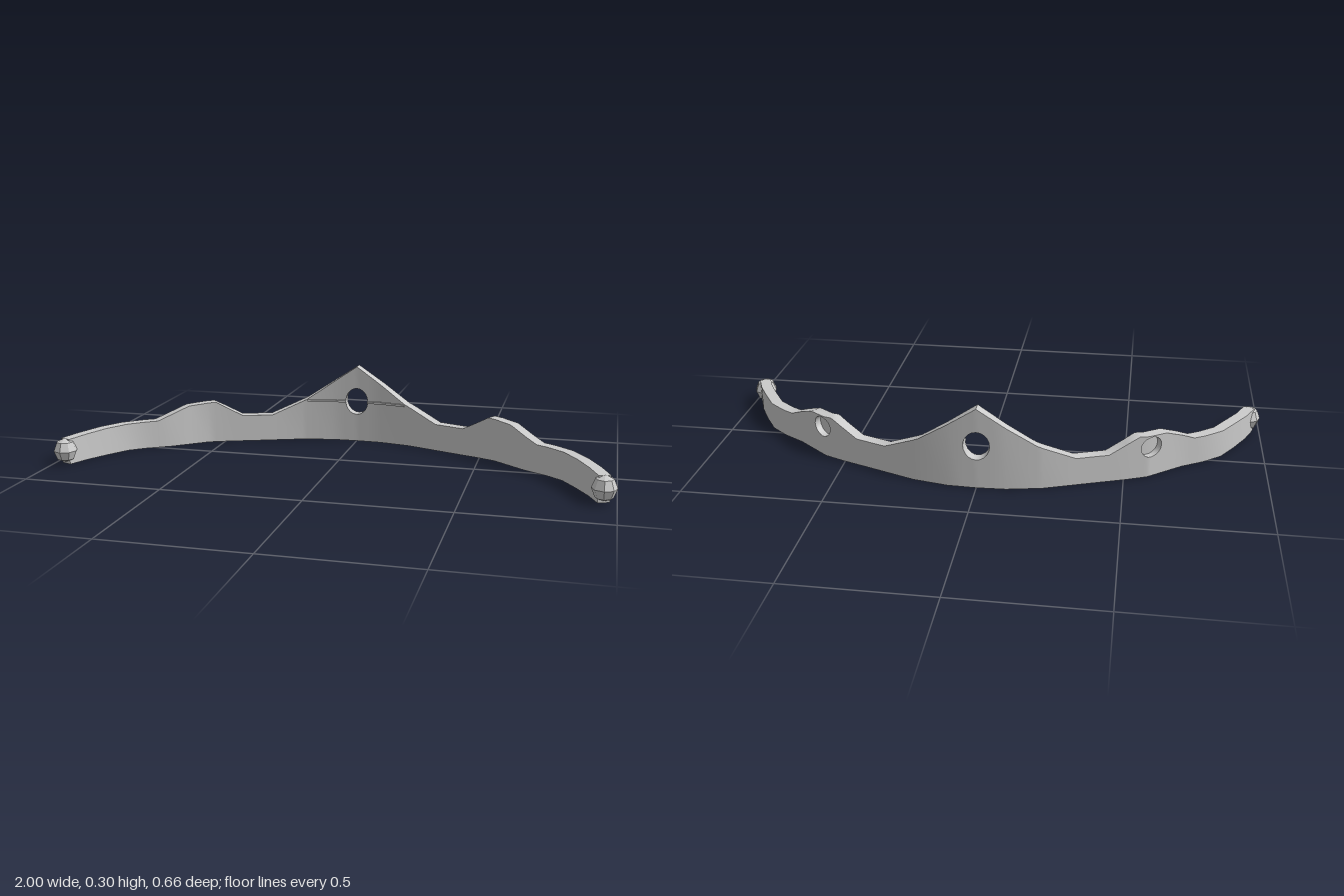
import * as THREE from 'three';
import { toCreasedNormals } from 'three/addons/utils/BufferGeometryUtils.js';

// Right half of the curve in plan [x, z] and of the top edge [x, y]
const PATH = [[0, -0.308], [0.1, -0.304], [0.22, -0.28], [0.4, -0.212], [0.5, -0.175], [0.57, -0.145],
  [0.69, -0.047], [0.77, 0.002], [0.83, 0.052], [0.88, 0.13], [0.925, 0.21], [0.957, 0.285]];
const TOP = [[0, 0.3], [0.2, 0.165], [0.33, 0.105], [0.44, 0.105], [0.54, 0.162], [0.63, 0.155],
  [0.73, 0.107], [0.88, 0.105], [0.957, 0.096]];
const BASE = 0.003, HALF = 0.021, END = 0.957;
const CENTRE = { x: 0, y: 0.162, rx: 0.045, ry: 0.052 };
const SOCKETS = [-1, 1].map((s) => ({ x: s * 0.58, y: 0.116, rx: 0.034, ry: 0.038 }));

const lerpTable = (table, x, k = 1) => {
  let i = 0;
  while (i < table.length - 2 && x > table[i + 1][0]) i++;
  const a = table[i], b = table[i + 1];
  return a[k] + (b[k] - a[k]) * (x - a[0]) / (b[0] - a[0]);
};

// Outward normals averaged at the path points
const NORMALS = PATH.map(([x], i) => {
  const a = i ? PATH[i - 1] : [-PATH[1][0], PATH[1][1]];
  const b = PATH[Math.min(i + 1, PATH.length - 1)];
  const n = new THREE.Vector2(b[1] - a[1], a[0] - b[0]).normalize();
  return [x, n.x, n.y];
});

const topAt = (x) => lerpTable(TOP, Math.abs(x));
const baseAt = () => BASE;

// Point on the band at x and height y, moved outward by d
function onBand(x, y, d) {
  const ax = Math.abs(x);
  return [x + Math.sign(x) * lerpTable(NORMALS, ax, 1) * d, y, lerpTable(PATH, ax) + lerpTable(NORMALS, ax, 2) * d];
}

// Every x where the plan or the top edge bends, plus extra steps through a hole
function stations(x0, x1, hole) {
  const xs = [x0, x1];
  for (const [x] of [...PATH, ...TOP]) xs.push(x, -x);
  if (hole) for (let i = 1; i < 10; i++) xs.push(hole.x - hole.rx * Math.cos(Math.PI * i / 10));
  const sorted = xs.filter((x) => x >= x0 && x <= x1).sort((a, b) => a - b);
  return sorted.filter((x, i) => !i || x - sorted[i - 1] > 1e-5);
}

// Closed curved bar between two height functions and two offsets
function strip(out, xs, low, high, inner, outer) {
  const quad = (a, b, c, d) => out.push(...a, ...b, ...c, ...a, ...c, ...d);
  const rings = xs.map((x) => [onBand(x, low(x), outer), onBand(x, high(x), outer),
    onBand(x, high(x), inner), onBand(x, low(x), inner)]);
  for (let i = 0; i < rings.length - 1; i++) {
    for (let k = 0; k < 4; k++) {
      const n = (k + 1) % 4;
      quad(rings[i][k], rings[i][n], rings[i + 1][n], rings[i + 1][k]);
    }
  }
  const first = rings[0], last = rings[rings.length - 1];
  quad(first[3], first[2], first[1], first[0]);
  quad(...last);
}

// One layer of the band, split above and below each hole
function layer(out, holes, inner, outer) {
  let x = -END;
  for (const h of holes) {
    const a = h.x - h.rx, b = h.x + h.rx;
    const rise = (px) => h.ry * Math.sqrt(Math.max(0, 1 - ((px - h.x) / h.rx) ** 2));
    const xs = stations(a, b, h);
    strip(out, stations(x, a), baseAt, topAt, inner, outer);
    strip(out, xs, baseAt, (px) => h.y - rise(px), inner, outer);
    strip(out, xs, (px) => h.y + rise(px), topAt, inner, outer);
    x = b;
  }
  strip(out, stations(x, END), baseAt, topAt, inner, outer);
}

export function createModel() {
  const group = new THREE.Group();
  const material = new THREE.MeshStandardMaterial({ color: 0xcccccc });
  const facet = new THREE.MeshStandardMaterial({ color: 0xcccccc, flatShading: true });

  const addStrips = (name, build) => {
    const out = [];
    build(out);
    const geo = new THREE.BufferGeometry();
    geo.setAttribute('position', new THREE.Float32BufferAttribute(out, 3));
    const mesh = new THREE.Mesh(toCreasedNormals(geo, 0.6), material);
    mesh.name = name;
    group.add(mesh);
  };

  // Band: the centre hole goes through, the side sockets only cut the outer layer
  addStrips('band', (out) => {
    layer(out, [CENTRE], -HALF, -0.004);
    layer(out, [SOCKETS[0], CENTRE, SOCKETS[1]], -0.004, HALF);
  });

  // Thin ledge across the inside of the peak, broken by the hole
  addStrips('ledge', (out) => {
    for (const [a, b] of [[-0.2, -0.045], [0.045, 0.2]]) {
      strip(out, stations(a, b), () => 0.157, () => 0.165, -HALF - 0.008, -HALF + 0.002);
    }
  });

  // Faceted knobs at both ends
  for (const side of [-1, 1]) {
    const knob = new THREE.Mesh(new THREE.SphereGeometry(1, 8, 4), facet);
    knob.name = side > 0 ? 'leftEndKnob' : 'rightEndKnob';
    knob.scale.set(0.043, 0.045, 0.046);
    knob.position.set(side * 0.957, 0.054, 0.286);
    group.add(knob);
  }
  return group;
}
